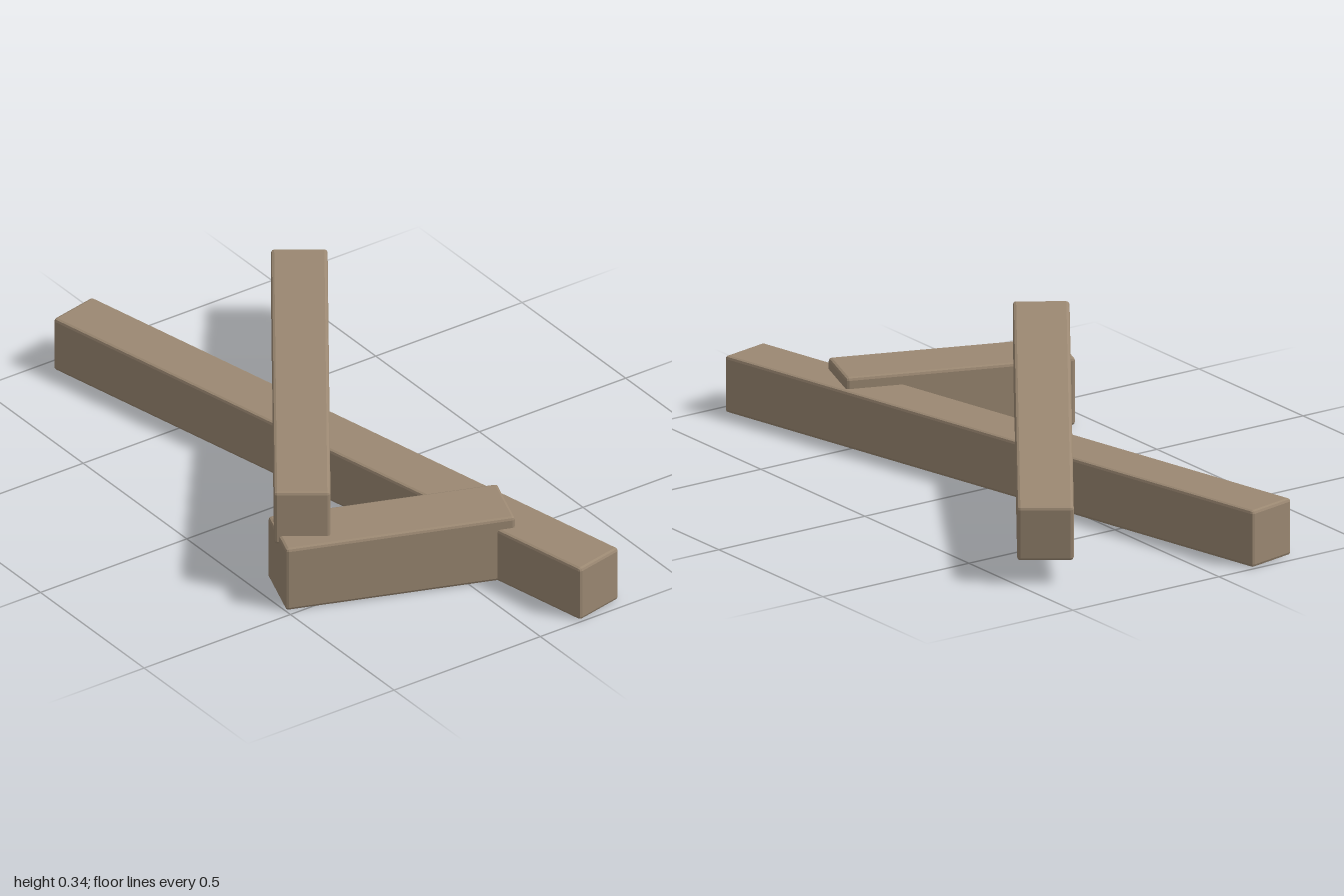
import * as THREE from 'three';
import { RoundedBoxGeometry } from 'three/addons/geometries/RoundedBoxGeometry.js';

const wood = new THREE.MeshStandardMaterial({ color: 0x9b8872 });
wood.name = 'weathered wood';

// Square timber with a narrow flat chamfer, lying along its local x axis
function beam(name, [length, height, width], position, yaw, pitch = 0) {
  const geometry = new RoundedBoxGeometry(length, height, width, 1, 0.009);
  geometry.computeVertexNormals(); // unshared corners give flat faces
  const mesh = new THREE.Mesh(geometry, wood);
  mesh.name = name;
  mesh.position.set(...position);
  mesh.rotation.set(0, THREE.MathUtils.degToRad(yaw), THREE.MathUtils.degToRad(pitch), 'YXZ');
  return mesh;
}

export function createModel() {
  const group = new THREE.Group();
  group.name = 'fallenBeams';
  group.add(
    // long beam flat on the ground
    beam('longBeam', [2.0, 0.167, 0.16], [0, 0.0835, -0.01], 12),
    // short thick block crossing its end
    beam('shortBeam', [0.664, 0.2, 0.192], [0.502, 0.1, 0.155], 70),
    // tilted beam resting across both
    beam('leaningBeam', [1.495, 0.163, 0.158], [-0.17, 0.2025, -0.01], -35, 4),
  );
  return group;
}
